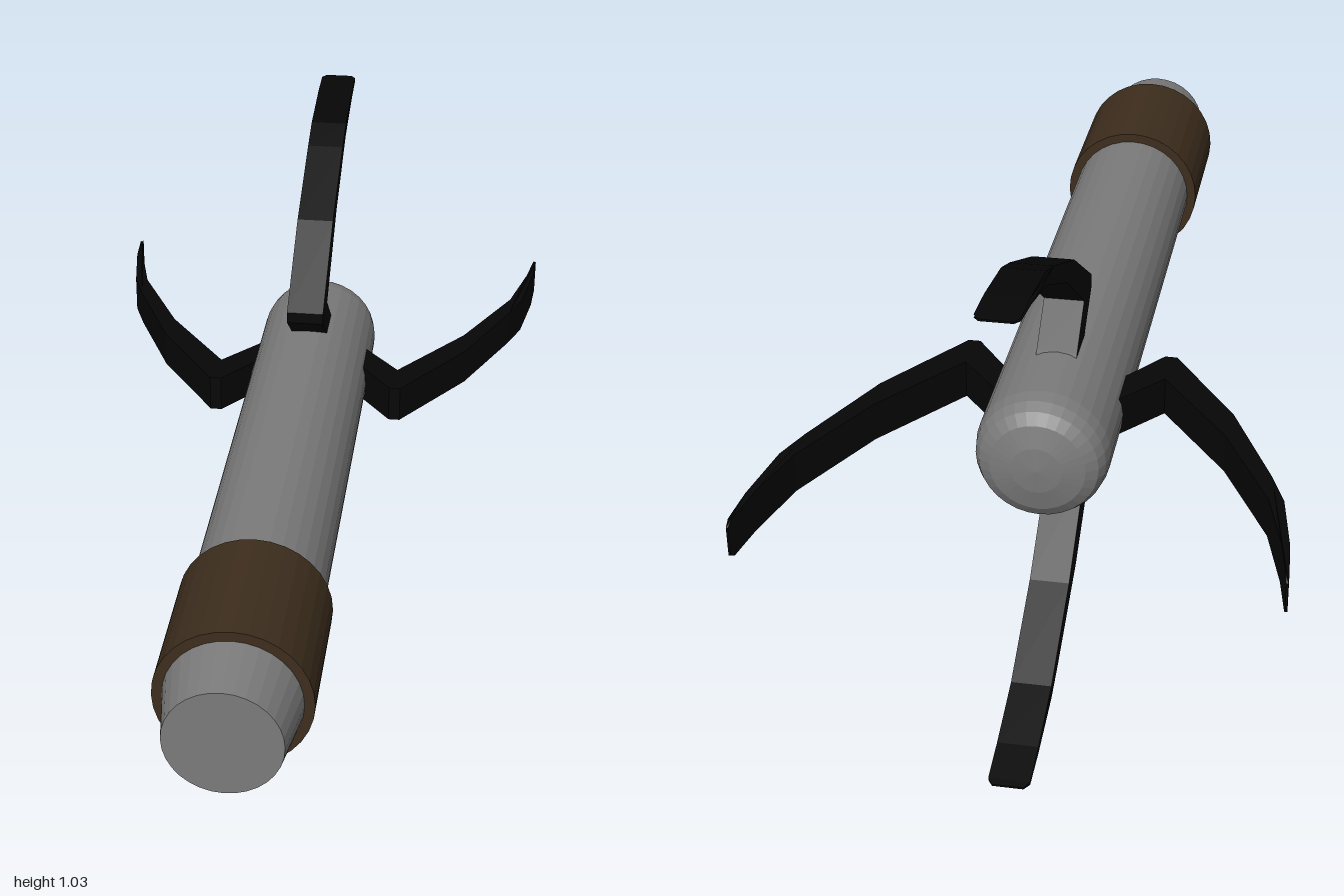
import * as THREE from 'three';

const AXIS_Y = 0.513;

// Faceted lathe along z from [radius, z] pairs, ordered back to front
function turned(name, profile, material) {
  const points = profile.map(([r, z]) => new THREE.Vector2(r, z));
  const mesh = new THREE.Mesh(new THREE.LatheGeometry(points, 32).rotateX(Math.PI / 2), material);
  mesh.name = name;
  return mesh;
}

// Bent fin: short strut out of the body, then a blade sweeping back to a thin tip
function finGeometry() {
  const outline = [ // [distance behind centre, radius]
    [0.40, 0.10], [0.275, 0.195], [0.275, 0.22], [0.476, 0.359], [0.685, 0.455],
    [0.76, 0.484], [0.90, 0.507], [0.985, 0.513], [1.0, 0.513],
    [1.0, 0.509], [0.985, 0.507], [0.90, 0.492], [0.76, 0.455], [0.556, 0.351],
    [0.364, 0.207], [0.449, 0.134], [0.487, 0.10],
  ];
  const shape = new THREE.Shape(outline.map(([s, r]) => new THREE.Vector2(s, r)));
  const geometry = new THREE.ExtrudeGeometry(shape, { depth: 0.082, bevelEnabled: false });
  geometry.translate(0, 0, -0.041).rotateY(Math.PI / 2);
  // Narrow the very end so the tip corners are clipped
  const p = geometry.attributes.position;
  for (let i = 0; i < p.count; i++) {
    if (p.getZ(i) < -0.995) p.setX(i, p.getX(i) * 0.75);
  }
  geometry.computeVertexNormals();
  return geometry;
}

export function createModel() {
  const model = new THREE.Group();
  model.name = 'finnedTube';
  const grey = new THREE.MeshStandardMaterial({ color: 0x7b7b7b, flatShading: true });
  const brown = new THREE.MeshStandardMaterial({ color: 0x3d2d1d, flatShading: true });
  const black = new THREE.MeshStandardMaterial({ color: 0x060606, flatShading: true });

  const assembly = new THREE.Group();
  assembly.name = 'assembly';
  assembly.position.y = AXIS_Y;
  model.add(assembly);

  // Body with a rounded back and a tapered, flat front
  assembly.add(turned('body', [
    [0, -0.682], [0.05, -0.678], [0.095, -0.667], [0.118, -0.652], [0.129, -0.63],
    [0.134, -0.6], [0.134, 0.87], [0.114, 1.0], [0, 1.0],
  ], grey));

  // Raised band near the front
  assembly.add(turned('gripBand', [
    [0.128, 0.56], [0.154, 0.56], [0.154, 0.87], [0.128, 0.87],
  ], brown));

  // Four fins around the axis
  const geometry = finGeometry();
  ['topFin', 'leftFin', 'bottomFin', 'rightFin'].forEach((name, i) => {
    const fin = new THREE.Mesh(geometry, black);
    fin.name = name;
    fin.rotation.z = -i * Math.PI / 2;
    assembly.add(fin);
  });

  return model;
}
